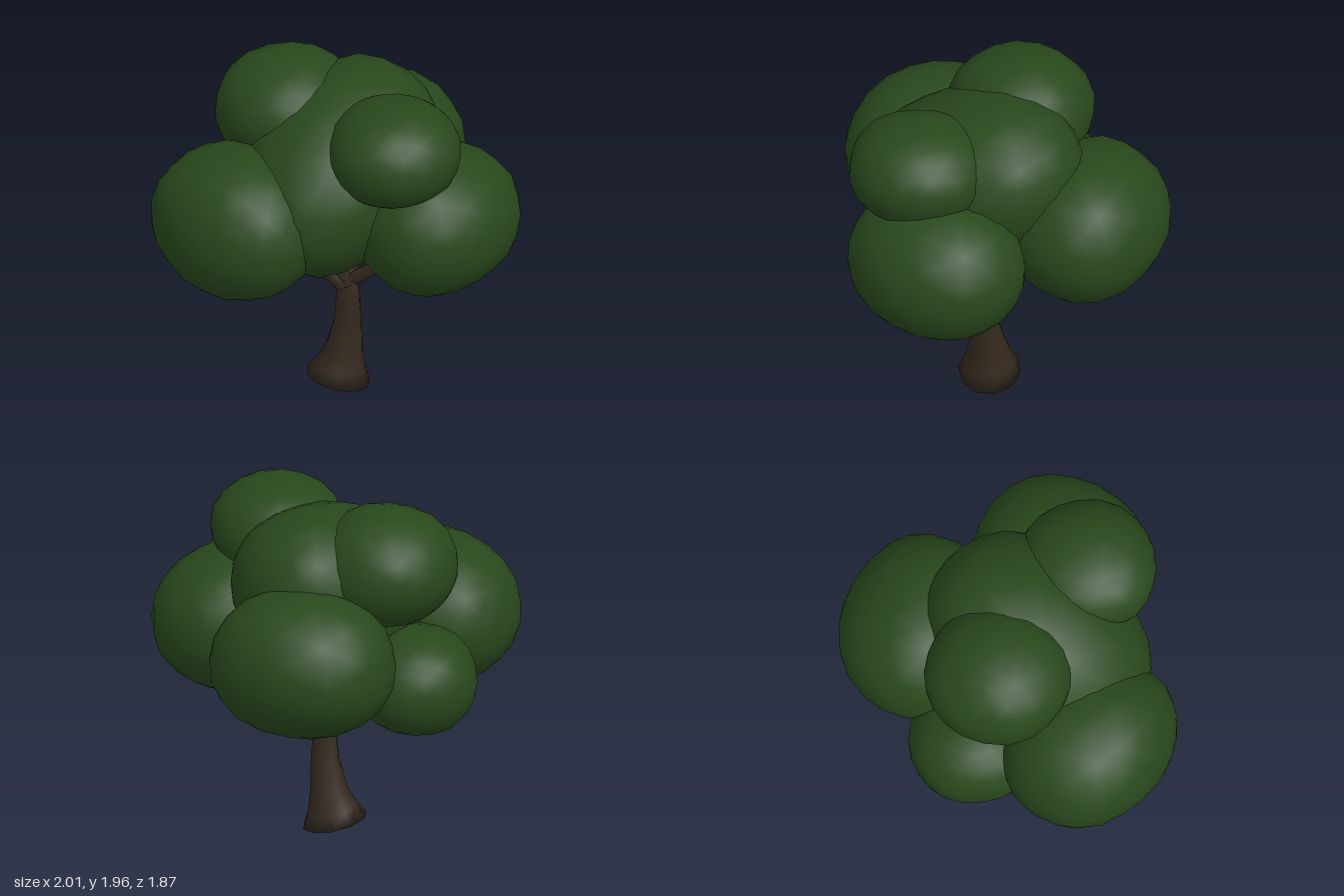
import * as THREE from 'three';
import { mergeVertices } from 'three/addons/utils/BufferGeometryUtils.js';

const leafGreen = new THREE.MeshStandardMaterial({ color: 0x28481c });
leafGreen.name = 'leafGreen';
const barkBrown = new THREE.MeshStandardMaterial({ color: 0x33281e });
barkBrown.name = 'barkBrown';

function addMesh(group, name, geometry, material) {
  const mesh = new THREE.Mesh(geometry, material);
  mesh.name = name;
  group.add(mesh);
  return mesh;
}

// Joins the vertices of a built-in geometry so it shades smoothly all over
function weld(geo) {
  geo.deleteAttribute('normal');
  geo.deleteAttribute('uv');
  return mergeVertices(geo, 1e-4);
}

// Slightly boxy, gently lumpy ball of leaves
function leafBall(radii, seed) {
  const geo = weld(new THREE.IcosahedronGeometry(1, 3));
  const pos = geo.attributes.position;
  const v = new THREE.Vector3();
  const power = 2.1;
  for (let i = 0; i < pos.count; i++) {
    v.fromBufferAttribute(pos, i).normalize();
    const sum = Math.abs(v.x) ** power + Math.abs(v.y) ** power + Math.abs(v.z) ** power;
    const lump = Math.sin(v.x * 4.1 + seed) * Math.sin(v.y * 4.7 + seed * 2.3) + Math.sin(v.z * 5.3 + seed * 1.7 + v.x * 2);
    v.multiplyScalar(sum ** (-1 / power) * (1 + 0.012 * lump));
    pos.setXYZ(i, v.x * radii[0], v.y * radii[1], v.z * radii[2]);
  }
  geo.computeVertexNormals();
  return geo;
}

// Flared trunk through rows of [y, centre x, centre z, radius x, radius z]
function trunkGeometry(rows) {
  const last = rows.length - 1;
  const geo = weld(new THREE.CylinderGeometry(1, 1, 1, 10, last));
  const pos = geo.attributes.position;
  for (let i = 0; i < pos.count; i++) {
    const k = Math.round((pos.getY(i) + 0.5) * last);
    const [y, cx, cz, rx, rz] = rows[k];
    const x = pos.getX(i) * rx;
    // the foot is cut at a slant that fades out upwards
    const slant = -0.23 * x * Math.max(0, 1 - k / 3);
    pos.setXYZ(i, cx + x, y + slant, cz + pos.getZ(i) * rz);
  }
  geo.computeVertexNormals();
  return geo;
}

// Tapered limb between two points
function addBranch(group, from, to, r0, r1) {
  const a = new THREE.Vector3(...from);
  const b = new THREE.Vector3(...to);
  const dir = b.clone().sub(a);
  const mesh = addMesh(group, 'branch', new THREE.CylinderGeometry(r1, r0, dir.length(), 8), barkBrown);
  mesh.position.copy(a).add(b).multiplyScalar(0.5);
  mesh.quaternion.setFromUnitVectors(new THREE.Vector3(0, 1, 0), dir.normalize());
}

export function createModel() {
  const tree = new THREE.Group();
  tree.name = 'tree';

  addMesh(tree, 'trunk', trunkGeometry([
    [0.04, -0.012, 0.075, 0.178, 0.172],
    [0.12, 0.003, 0.075, 0.137, 0.142],
    [0.22, 0.02, 0.077, 0.106, 0.112],
    [0.4, 0.043, 0.092, 0.079, 0.075],
    [0.56, 0.046, 0.108, 0.067, 0.06],
    [0.7, 0.05, 0.112, 0.06, 0.056],
  ]), barkBrown);

  // Limbs fanning out into the crown
  const branches = new THREE.Group();
  branches.name = 'branches';
  tree.add(branches);
  addBranch(branches, [0.05, 0.65, 0.11], [0.4, 0.93, 0.22], 0.042, 0.032);
  addBranch(branches, [0.02, 0.65, 0.15], [-0.34, 1.03, 0.26], 0.042, 0.032);
  addBranch(branches, [0.05, 0.65, 0.11], [0.09, 1.02, -0.32], 0.045, 0.035);
  addBranch(branches, [0.04, 0.65, 0.14], [-0.1, 1.03, 0.19], 0.045, 0.035);

  // Crown: [name, centre, radii, yaw, tilt]
  const crown = new THREE.Group();
  crown.name = 'crown';
  tree.add(crown);
  const balls = [
    ['centreLeaves', [0, 1.385, 0.155], [0.68, 0.475, 0.51], 1.05, 0.45],
    ['rightFrontLeaves', [-0.525, 1.18, 0.455], [0.51, 0.42, 0.435], -Math.PI / 4, 0],
    ['leftLeaves', [0.555, 1.165, 0.29], [0.505, 0.4, 0.43], 1.13, 0],
    ['leftTopLeaves', [0.33, 1.635, 0.42], [0.37, 0.285, 0.385], 0, 0],
    ['backLeaves', [0.115, 1.22, -0.49], [0.515, 0.41, 0.435], -0.25, 0],
    ['rightBackLeaves', [-0.48, 1.01, -0.18], [0.34, 0.295, 0.36], 0, 0],
    ['rightTopLeaves', [-0.305, 1.635, -0.055], [0.395, 0.328, 0.405], 0, 0],
  ];
  balls.forEach(([name, centre, radii, yaw, tilt], i) => {
    const ball = addMesh(crown, name, leafBall(radii, 1 + i * 1.9), leafGreen);
    ball.position.set(...centre);
    ball.rotation.set(0, yaw, tilt);
  });

  return tree;
}
